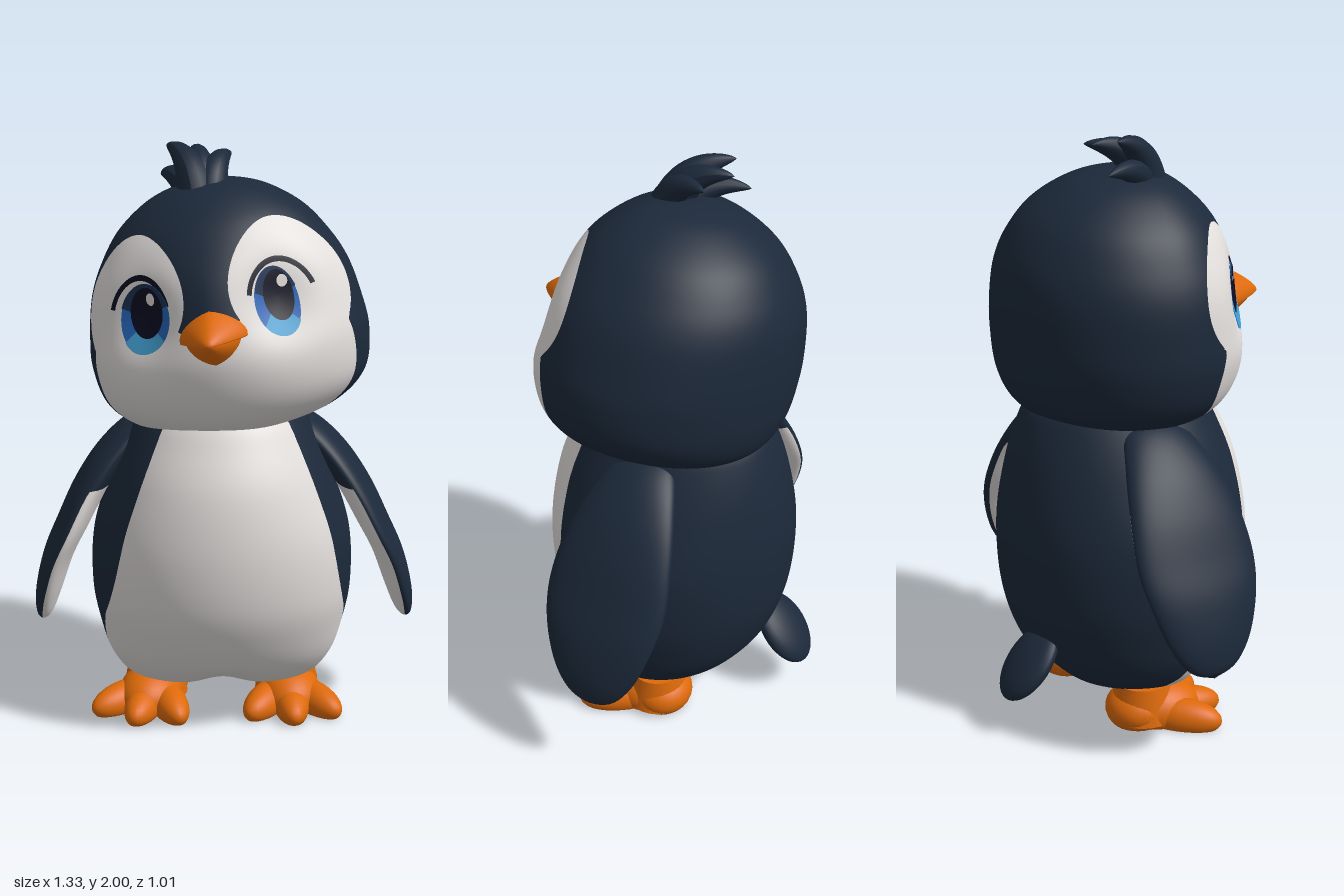
import * as THREE from 'three';

const mat = (name, color) => Object.assign(new THREE.MeshStandardMaterial({ color }), { name });
const navy = mat('navy plumage', 0x1c293a);
const white = mat('white plumage', 0xe4e0de);
const orange = mat('orange skin', 0xde6a0a);
const blue = mat('iris blue', 0x2466b8);
const cyan = mat('iris light blue', 0x42a0d2);
const slate = mat('iris shade', 0x1d3252);
const black = mat('pupil', 0x0a0c22);

const BODY_YAW = 0.24;

// Smooth curve through rows of four numbers, returned as t => values
function spline(rows) {
  const make = (pick) => new THREE.CatmullRomCurve3(
    rows.map((r) => new THREE.Vector3(...pick(r))), false, 'catmullrom', 0.5);
  const a = make((r) => [r[0], r[1], r[2]]), b = make((r) => [r[3], 0, 0]);
  return (t) => [...a.getPoint(t).toArray(), b.getPoint(t).x];
}

// Closed surface: phi runs round from the front towards +x, v runs upwards.
// Faces are white where mask(phi, v) > 0 and are cut cleanly along the border.
function skin(name, nu, nv, point, mask) {
  const pos = [], f = [], faces = [[], []], cuts = new Map();
  for (let j = 0; j <= nv; j++) {
    for (let i = 0; i < nu; i++) {
      const phi = -Math.PI + (2 * Math.PI * i) / nu;
      pos.push(...point(phi, j / nv));
      f.push(mask(phi, j / nv) || 1e-6);
    }
  }
  const cut = (a, b) => {
    const [lo, hi] = a < b ? [a, b] : [b, a], key = lo + '_' + hi;
    if (!cuts.has(key)) {
      const t = f[lo] / (f[lo] - f[hi]);
      cuts.set(key, pos.length / 3);
      for (let k = 0; k < 3; k++) pos.push(pos[lo * 3 + k] * (1 - t) + pos[hi * 3 + k] * t);
    }
    return cuts.get(key);
  };
  const side = (i) => (f[i] > 0 ? 1 : 0);
  const triangle = (a, b, c) => {
    if (side(a) === side(b) && side(b) === side(c)) return faces[side(a)].push(a, b, c);
    if (side(b) !== side(c)) return triangle(b, c, a); // turn until a is the odd one out
    const p = cut(a, b), q = cut(a, c);
    faces[side(a)].push(a, p, q);
    return faces[side(b)].push(p, b, c, p, c, q);
  };
  for (let j = 0; j < nv; j++) {
    for (let i = 0; i < nu; i++) {
      const a = j * nu + i, b = j * nu + ((i + 1) % nu);
      triangle(a, b, b + nu);
      triangle(a, b + nu, a + nu);
    }
  }
  const g = new THREE.BufferGeometry();
  g.setAttribute('position', new THREE.Float32BufferAttribute(pos, 3));
  g.setIndex([...faces[0], ...faces[1]]);
  g.addGroup(0, faces[0].length, 0);
  g.addGroup(faces[0].length, faces[1].length, 1);
  g.computeVertexNormals();
  const m = new THREE.Mesh(g, [navy, white]);
  m.name = name;
  return m;
}

function add(parent, name, geometry, material, position = [0, 0, 0], scale = [1, 1, 1]) {
  const m = new THREE.Mesh(geometry, material);
  m.name = name;
  m.position.set(...position);
  m.scale.set(...scale);
  parent.add(m);
  return m;
}

// Move every vertex by a rule (x, y, z) => [x, y, z]
function reshape(g, rule) {
  const p = g.attributes.position;
  for (let i = 0; i < p.count; i++) p.setXYZ(i, ...rule(p.getX(i), p.getY(i), p.getZ(i), i));
  g.computeVertexNormals();
  return g;
}

// Ring rows: half width, height, front depth, back depth
const headRows = spline([
  [0, -0.385, 0, 0], [0.2, -0.378, 0.2, 0.27], [0.35, -0.335, 0.3, 0.375], [0.445, -0.25, 0.368, 0.425],
  [0.474, -0.12, 0.41, 0.445], [0.462, 0, 0.405, 0.45], [0.434, 0.12, 0.375, 0.44], [0.385, 0.22, 0.325, 0.405],
  [0.31, 0.32, 0.255, 0.335], [0.2, 0.4, 0.16, 0.22], [0.09, 0.438, 0.07, 0.1], [0, 0.447, 0, 0],
]);
const bodyRows = spline([
  [0, 0.145, 0, 0], [0.2, 0.13, 0.08, 0.19], [0.32, 0.142, 0.145, 0.28], [0.392, 0.23, 0.25, 0.36],
  [0.43, 0.35, 0.33, 0.415], [0.455, 0.5, 0.39, 0.445], [0.445, 0.7, 0.41, 0.45], [0.38, 0.9, 0.385, 0.425],
  [0.315, 1.05, 0.322, 0.385], [0.27, 1.13, 0.275, 0.34], [0.18, 1.25, 0.18, 0.22], [0, 1.28, 0, 0],
]);
// Wing rows: distance out, height, half width, half thickness
const wingRows = spline([
  [0.638, 0.32, 0, 0], [0.633, 0.36, 0.09, 0.03], [0.615, 0.45, 0.155, 0.047], [0.577, 0.58, 0.2, 0.055],
  [0.522, 0.7, 0.218, 0.06], [0.452, 0.84, 0.2, 0.065], [0.362, 0.97, 0.16, 0.07], [0.265, 1.07, 0.1, 0.062],
  [0.2, 1.12, 0, 0],
]);

const EYE = { phi: 0.55, y: 0.052 };

// Head point at a ring parameter, with eye sockets
function headAt(phi, t, lift = 0) {
  const [rx, y, front, back] = headRows(t);
  const d = ((Math.abs(phi) - EYE.phi) / 0.32) ** 2 + ((y - EYE.y) / 0.14) ** 2;
  const k = 1 - 0.14 * Math.exp(-d) + lift;
  return [rx * Math.sin(phi) * k, y, Math.cos(phi) * (Math.cos(phi) > 0 ? front : back) * k];
}
function headAtHeight(phi, y, lift) {
  let lo = 0, hi = 1;
  for (let i = 0; i < 24; i++) {
    const mid = (lo + hi) / 2;
    if (headRows(mid)[1] < y) lo = mid; else hi = mid;
  }
  return headAt(phi, lo, lift);
}

// Thin plate that follows the head surface
function eyePlate(parent, name, material, phi, y, rPhi, rY, lift, inner = 0.001, start = 0, sweep = 360) {
  const rad = Math.PI / 180;
  const g = new THREE.RingGeometry(inner, 1, 40, 5, start * rad, sweep * rad);
  add(parent, name, reshape(g, (u, v) => headAtHeight(phi + u * rPhi, y + v * rY, lift)), material);
}

// Pointed half of the beak: domed on one side of the mouth line, nearly flat on the other
function beakHalf(parent, name, up, position, scale) {
  const profile = [[0.09, -0.08], [0.107, -0.04], [0.1, 0.01], [0.075, 0.06], [0.04, 0.115], [0.014, 0.145], [0, 0.15]];
  const g = new THREE.LatheGeometry(
    new THREE.SplineCurve(profile.map((q) => new THREE.Vector2(...q))).getPoints(24), 32).rotateX(Math.PI / 2);
  reshape(g, (x, y, z) => [x, y * up > 0 ? y * (1 - 2.5 * Math.abs(x)) : y * 0.12, z]);
  add(parent, name, g, orange, position, scale);
}

function makeHead() {
  const head = new THREE.Group();
  head.name = 'head';
  head.add(skin('headPlumage', 128, 96, (phi, v) => headAt(phi, v), (phi, v) => {
    const a = Math.abs(phi), y = headRows(v)[1];
    const lobe = 1 - ((a - 0.735) / 0.565) ** 2 - ((y - 0.105) / 0.205) ** 2;
    const cheek = Math.min(-y * 5, 1.1 + 0.06 * Math.sin((-y - 0.03) * 9) - a);
    return Math.max(lobe, cheek);
  }));
  for (const s of [-1, 1]) {
    // Both eyes glance to one side, so one iris is seen narrower
    const { y } = EYE, phi = s * EYE.phi, w = s > 0 ? 0.19 : 0.245;
    eyePlate(head, 'eyelid', black, phi + s * 0.05, y + 0.008, 0.3, 0.13, 0.008, 0.86, 12, 156);
    eyePlate(head, 'iris', blue, phi, y, w, 0.11, 0.012);
    eyePlate(head, 'irisShade', slate, phi, y, w, 0.11, 0.02, 0.3, 20, 140);
    eyePlate(head, 'irisGlow', cyan, phi, y, w, 0.11, 0.02, 0.3, 220, 100);
    eyePlate(head, 'pupil', black, phi + 0.02, y + 0.018, w * 0.68, 0.08, 0.028);
    eyePlate(head, 'eyeHighlight', white, phi + 0.07, y + 0.06, 0.045, 0.02, 0.036);
  }

  beakHalf(head, 'upperBeak', 1, [0.005, -0.03, 0.362], [1.12, 0.98, 1]);
  beakHalf(head, 'lowerBeak', -1, [0.005, -0.03, 0.367], [0.95, 0.97, 0.84]);

  head.position.set(0.01, 1.45, 0);
  head.rotation.set(0, 0.1, 0.16, 'ZYX');
  return head;
}

// Tapered, curved crest feather
function feather(parent, start, bend, end, radius) {
  const curve = new THREE.QuadraticBezierCurve3(...[start, bend, end].map((q) => new THREE.Vector3(...q)));
  const g = reshape(new THREE.TubeGeometry(curve, 20, radius, 12), (x, y, z, i) => {
    const t = Math.floor(i / 13) / 20, c = curve.getPointAt(t);
    return new THREE.Vector3(x, y, z).sub(c).multiplyScalar(Math.pow(1 - t, 0.7)).add(c).toArray();
  });
  add(parent, 'crestFeather', g, navy);
}

// The inner face is white inside a navy rim
function makeWing(s) {
  const wrap = s > 0 ? -0.22 : 0;
  return skin(s > 0 ? 'leftWing' : 'rightWing', 64, 64, (phi, v) => {
    const [out, y, w, t] = wingRows(v);
    const spread = s > 0 ? 0.025 * (1 - v) : 0;
    return [s * (out + spread) + t * Math.sin(phi), y, -0.055 + w * Math.cos(phi)];
  }, (phi, v) => Math.min(wrap + 0.12 * Math.cos(phi) - s * Math.sin(phi), (v - 0.05) * 8, (0.64 - v) * 8));
}

function makeFoot(s) {
  const foot = new THREE.Group();
  foot.name = s > 0 ? 'leftFoot' : 'rightFoot';
  // Rounded lump with a flat sole
  const lump = (name, x, y, z, rx, ry, rz, turn = 0) => {
    const g = new THREE.SphereGeometry(1, 28, 20).scale(rx, ry, rz).rotateY(turn).translate(x, y, z);
    add(foot, name, reshape(g, (px, py, pz) => [px, Math.max(0, py), pz]), orange);
  };
  lump('heel', 0, 0.05, -0.09, 0.115, 0.085, 0.11);
  for (const a of [-0.58, 0, 0.58]) {
    lump('toe', Math.sin(a) * 0.145, 0.03, -0.08 + Math.cos(a) * 0.145, 0.064, 0.066, 0.15, a);
  }
  lump('instep', 0, 0.04, -0.01, 0.115, 0.1, 0.15);
  add(foot, 'ankle', new THREE.CylinderGeometry(0.095, 0.118, 0.13, 28), orange, [0, 0.085, -0.07]);
  foot.position.set(s > 0 ? 0.245 : -0.26, 0, -0.01);
  foot.rotation.y = s > 0 ? 0.04 : -0.26;
  return foot;
}

export function createModel() {
  const model = new THREE.Group();
  model.name = 'penguin';

  const body = new THREE.Group();
  body.name = 'body';
  body.rotation.y = BODY_YAW;
  model.add(body);

  // Torso: the white bib widens towards the feet, and the underside rises between the legs
  const bib = new THREE.SplineCurve([[0.1, 2.2], [0.16, 1.75], [0.25, 1.52], [0.4, 1.24], [0.5, 1.06], [0.65, 0.94], [0.9, 0.87], [1.3, 0.76]]
    .map((q) => new THREE.Vector2(...q))).getPoints(200);
  const bibLimit = (y) => bib.find((q) => q.x >= y).y;
  body.add(skin('torso', 128, 90, (phi, v) => {
    const [rx, y, front, back] = bodyRows(v);
    const x = rx * Math.sin(phi);
    const rise = 0.035 * Math.exp(-((x / 0.09) ** 2)) * Math.max(0, 1 - Math.max(0, y - 0.13) / 0.12);
    return [x, y + rise, Math.cos(phi) * (Math.cos(phi) > 0 ? front : back)];
  }, (phi, v) => bibLimit(bodyRows(v)[1]) - Math.abs(phi - 0.06)));

  for (const s of [-1, 1]) body.add(makeWing(s), makeFoot(s));

  // Tail: flat paddle pointing down and back
  const tail = add(body, 'tail', new THREE.SphereGeometry(1, 28, 20), navy, [-0.08, 0.24, -0.435], [0.11, 0.145, 0.047]);
  tail.rotation.x = 0.7;

  model.add(makeHead());

  const crest = new THREE.Group();
  crest.name = 'crest';
  feather(crest, [-0.07, 1.84, 0.05], [-0.1, 1.98, 0.03], [-0.21, 1.99, -0.09], 0.072);
  feather(crest, [-0.06, 1.84, 0.04], [-0.07, 1.98, 0.0], [-0.13, 1.975, -0.15], 0.07);
  feather(crest, [-0.03, 1.84, 0.04], [-0.03, 1.96, 0.02], [0.0, 1.965, -0.14], 0.065);
  feather(crest, [-0.08, 1.83, 0.03], [-0.15, 1.92, 0.0], [-0.24, 1.89, -0.13], 0.06);
  model.add(crest);
  return model;
}
